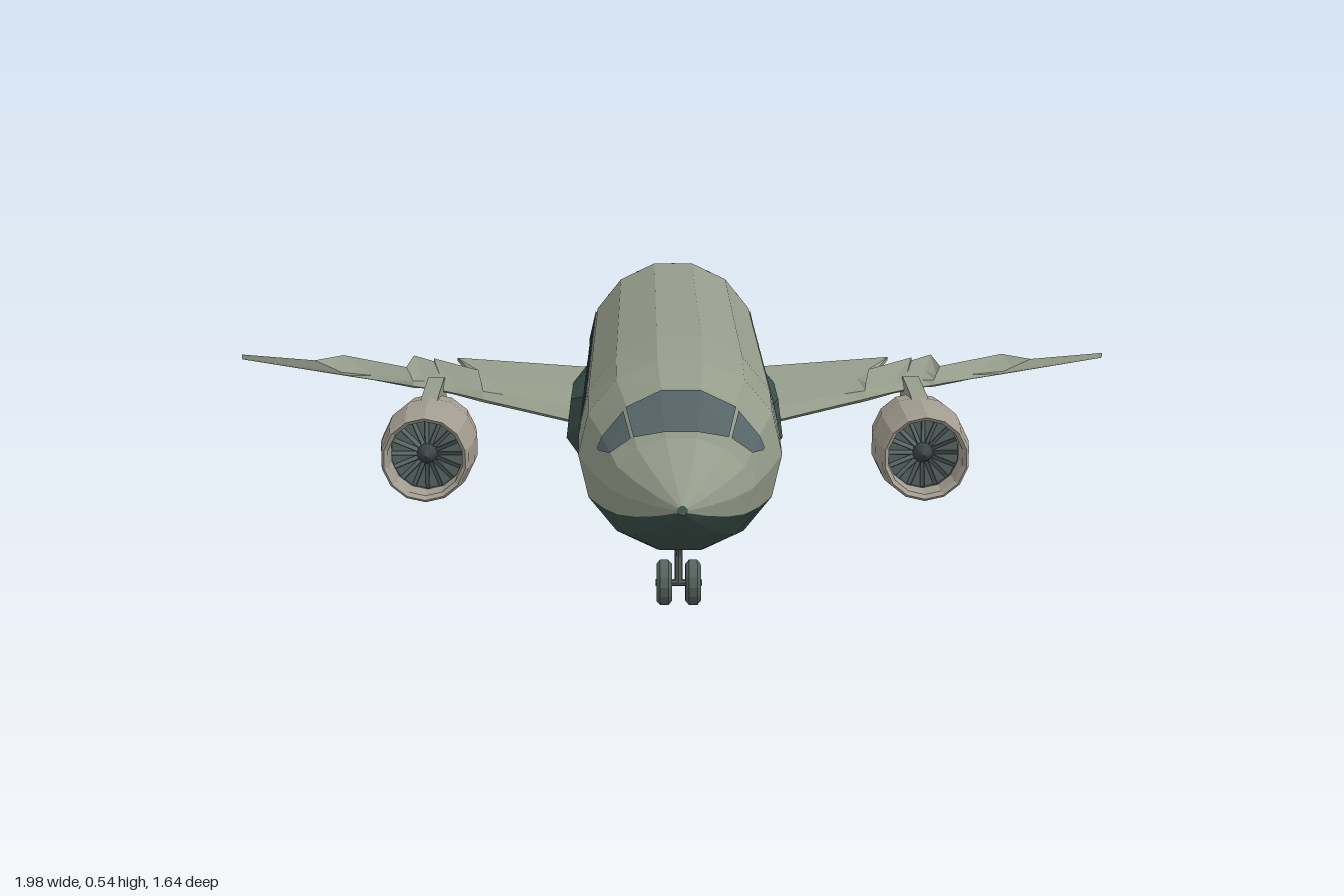
import * as THREE from 'three';

const mat = (color) => new THREE.MeshStandardMaterial({ color, flatShading: true, side: THREE.DoubleSide });
const skin = mat(0x959c8a), belly = mat(0x3c504a), glass = mat(0x59676a), metal = mat(0xa39d90);
const dark = mat(0x3b4448), rubber = mat(0x56635f), rust = mat(0x8a6446);
const { lerp, degToRad } = THREE.MathUtils;

function add(parent, name, geometry, material) {
  const mesh = new THREE.Mesh(geometry, material);
  mesh.name = name;
  parent.add(mesh);
  return mesh;
}

// Skin a grid of [x, y, z] rows
function loft(rows) {
  const n = rows[0].length, index = [];
  for (let i = 0; i < rows.length - 1; i++) {
    for (let j = 0; j < n - 1; j++) {
      const a = i * n + j, b = a + n;
      index.push(a, b, a + 1, a + 1, b, b + 1);
    }
  }
  const g = new THREE.BufferGeometry();
  g.setAttribute('position', new THREE.Float32BufferAttribute(rows.flat(2), 3));
  g.setIndex(index);
  g.computeVertexNormals();
  return g;
}

function rod(parent, name, from, to, radius, material) {
  const a = new THREE.Vector3(...from), d = new THREE.Vector3(...to).sub(a);
  const mesh = add(parent, name, new THREE.CylinderGeometry(radius, radius, d.length(), 8), material);
  mesh.position.copy(a).addScaledVector(d, 0.5);
  mesh.quaternion.setFromUnitVectors(new THREE.Vector3(0, 1, 0), d.normalize());
}

// Fuselage stations: z, top, bottom, half width, height of widest line
const stations = [
  [0.82, 0.316, 0.3, 0.008, 0.308], [0.78, 0.345, 0.268, 0.048, 0.308],
  [0.72, 0.376, 0.235, 0.09, 0.308], [0.66, 0.405, 0.21, 0.126, 0.312],
  [0.6, 0.485, 0.187, 0.158, 0.33], [0.52, 0.522, 0.169, 0.187, 0.348],
  [0.35, 0.539, 0.169, 0.19, 0.354], [-0.74, 0.539, 0.169, 0.19, 0.354],
];
const SIDES = 14, STEP = 360 / SIDES;

// Point on the hull; the angle runs from the top towards +x
function hull([z, top, bottom, w, mid], deg, out = 0) {
  const s = Math.sin(degToRad(deg)), c = Math.cos(degToRad(deg));
  const h = (c > 0 ? top - mid : mid - bottom) / Math.cos(degToRad(STEP / 2));
  return [(w + out) * s, mid + (h + out) * c, z + out];
}
function stationAt(z) {
  const i = stations.findIndex((s, k) => k < stations.length - 1 && stations[k + 1][0] <= z);
  const a = stations[i], b = stations[i + 1], t = (a[0] - z) / (a[0] - b[0]);
  return a.map((v, k) => lerp(v, b[k], t));
}
const angles = (from, count) => Array.from({ length: count + 1 }, (_, i) => (from + i) * STEP);

function buildFuselage(g) {
  const shell = (list) => loft(stations.map((s) => list.map((a) => hull(s, a))));
  add(g, 'upperFuselage', shell(angles(-4.5, 9)), skin);
  add(g, 'lowerFuselage', shell(angles(4.5, 5)), belly);

  // Rear bulkhead above the cabin floor
  const arc = angles(-4, 8).map((a) => hull(stations[7], a));
  const bulkhead = new THREE.Shape(arc.map(([x, y]) => new THREE.Vector2(x * 0.985, y - 0.003)));
  add(g, 'rearBulkhead', new THREE.ShapeGeometry(bulkhead), belly).position.z = -0.733;

  // Cockpit glass
  const pane = (list, zs) => loft(zs.map((row) => list.map((a, i) => hull(stationAt(row[i]), a, 0.003))));
  add(g, 'windshield', pane(angles(-1.5, 3), [[0.646, 0.654, 0.654, 0.646], [0.604, 0.604, 0.604, 0.604]]), glass);
  for (const s of [-1, 1]) {
    add(g, 'cockpitSideWindow', pane([s * 41, s * 64, s * 72], [[0.645, 0.635, 0.61], [0.606, 0.604, 0.604]]), glass);
    // Cabin windows
    for (let i = 0; i < 17; i++) {
      const w = add(g, 'cabinWindow', new THREE.BoxGeometry(0.005, 0.05, 0.032), glass);
      w.position.set(s * 0.1805, 0.395, 0.327 - i * 0.0643);
      w.rotation.z = s * degToRad(STEP / 2);
    }
    const tab = add(g, 'tornDoorFrame', new THREE.BoxGeometry(0.008, 0.065, 0.035), rust);
    tab.position.set(s * 0.18, 0.393, -0.742);
    tab.rotation.z = s * degToRad(STEP / 2);
  }
}

// Wing box fairing under the hull
function buildFairing(g) {
  const front = [[0.185, 0.31], [0.187, 0.27], [0.165, 0.22], [0.13, 0.19], [0.07, 0.168], [0, 0.165]];
  const full = [[0.175, 0.33], [0.225, 0.285], [0.235, 0.2], [0.2, 0.15], [0.1, 0.132], [0, 0.13]];
  const rear = full.map(([x, y]) => [x * 0.9, y + 0.01]);
  const ring = (half, z) => [
    ...half.map(([x, y]) => [x, y, z(x)]),
    ...half.slice(0, -1).reverse().map(([x, y]) => [-x, y, z(x)]),
  ];
  add(g, 'bellyFairing', loft([
    ring(front, () => -0.31), ring(full, () => -0.41), ring(full, () => -0.62),
    ring(rear, (x) => -0.81 + 0.045 * (x / 0.2) ** 2),
  ]), belly);
}

// Wing ribs with a torn rear edge: leading edge x, rear x, rear z
const ribs = [
  [0.16, 0.16, -0.755], [0.36, 0.497, -0.813], [0.42, 0.44, -0.655], [0.48, 0.55, -0.79],
  [0.51, 0.547, -0.75], [0.55, 0.598, -0.82], [0.58, 0.602, -0.655], [0.66, 0.757, -0.785],
  [0.74, 0.815, -0.712], [0.99, 0.992, -0.797],
];
function wingGeometry(s) {
  return loft(ribs.map(([xl, xr, zr]) => {
    const zl = -0.4 - (xl - 0.21) * 0.505;
    const t = lerp(0.032, 0.002, Math.min(1, xl / 0.8));
    const yl = xl < 0.5 ? lerp(0.235, 0.278, (xl - 0.2) / 0.3) : lerp(0.278, 0.312, (xl - 0.5) / 0.49);
    const yr = lerp(0.285, 0.318, Math.min(1, xr / 0.75));
    const at = (f, dy) => [s * lerp(xl, xr, f), lerp(yl, yr, f) + dy, lerp(zl, zr, f)];
    return [at(0, 0), at(0.12, t * 0.7), at(0.4, t * 0.8), at(1, 0.004),
      at(1, -0.004), at(0.4, -t), at(0.12, -t * 0.8), at(0, 0)];
  }));
}

function buildEngine(g, s) {
  const e = new THREE.Group();
  e.name = 'engine';
  e.position.set(s * 0.53, 0.187, 0);
  g.add(e);
  const lathe = (name, pts, m) => add(e, name,
    new THREE.LatheGeometry(pts.map((p) => new THREE.Vector2(...p)), SIDES).rotateX(Math.PI / 2), m);
  lathe('nacelle', [[0.068, -0.58], [0.078, -0.585], [0.095, -0.5], [0.104, -0.4], [0.102, -0.32],
    [0.094, -0.245], [0.088, -0.235], [0.08, -0.245], [0.078, -0.3]], metal);
  lathe('fanDuct', [[0.078, -0.3], [0.078, -0.42], [0.068, -0.58]], dark);
  lathe('coreExhaust', [[0.06, -0.5], [0.056, -0.59], [0.04, -0.655], [0.028, -0.645]], metal);
  lathe('exhaustPlug', [[0.028, -0.63], [0.02, -0.665], [0.001, -0.7]], metal);
  lathe('fanDisc', [[0.079, -0.315], [0.001, -0.315]], rubber);
  lathe('spinner', [[0.024, -0.31], [0.016, -0.285], [0.001, -0.265]], dark);
  for (let i = 0; i < 16; i++) {
    const blade = new THREE.BoxGeometry(0.01, 0.056, 0.002).rotateY(0.7).translate(0, 0.048, -0.305);
    add(e, 'fanBlade', blade.rotateZ(i * Math.PI / 8), glass);
  }
  // Pylon joining nacelle and wing
  const outline = [[0.33, 0.085], [0.4, 0.105], [0.6, 0.115], [0.66, 0.075], [0.6, 0.03], [0.4, 0.07]];
  const pylon = new THREE.ExtrudeGeometry(new THREE.Shape(outline.map((p) => new THREE.Vector2(...p))),
    { depth: 0.036, bevelEnabled: false });
  add(e, 'pylon', pylon.translate(0, 0, -0.018).rotateY(Math.PI / 2), skin);
}

function buildNoseGear(parent) {
  const g = new THREE.Group();
  g.name = 'noseGear';
  parent.add(g);
  rod(g, 'strut', [0, 0.18, 0.275], [0, 0.045, 0.272], 0.008, rubber);
  rod(g, 'dragBrace', [0, 0.18, 0.325], [0, 0.095, 0.272], 0.006, rubber);
  rod(g, 'axle', [-0.045, 0.045, 0.272], [0.045, 0.045, 0.272], 0.007, rubber);
  for (const s of [-1, 1]) {
    const tyre = [[0.02, -0.012], [0.036, -0.015], [0.044, -0.008], [0.044, 0.008], [0.036, 0.015], [0.02, 0.012]];
    const place = (mesh) => mesh.position.set(s * 0.028, 0.045, 0.272);
    place(add(g, 'tyre', new THREE.LatheGeometry(tyre.map((p) => new THREE.Vector2(...p)), 14).rotateZ(Math.PI / 2), rubber));
    place(add(g, 'wheelHub', new THREE.CylinderGeometry(0.021, 0.021, 0.018, 10).rotateZ(Math.PI / 2), dark));
  }
}

export function createModel() {
  const model = new THREE.Group();
  model.name = 'airlinerFrontSection';
  buildFuselage(model);
  buildFairing(model);
  for (const s of [-1, 1]) {
    add(model, s > 0 ? 'leftWing' : 'rightWing', wingGeometry(s), skin);
    buildEngine(model, s);
  }
  buildNoseGear(model);
  return model;
}
